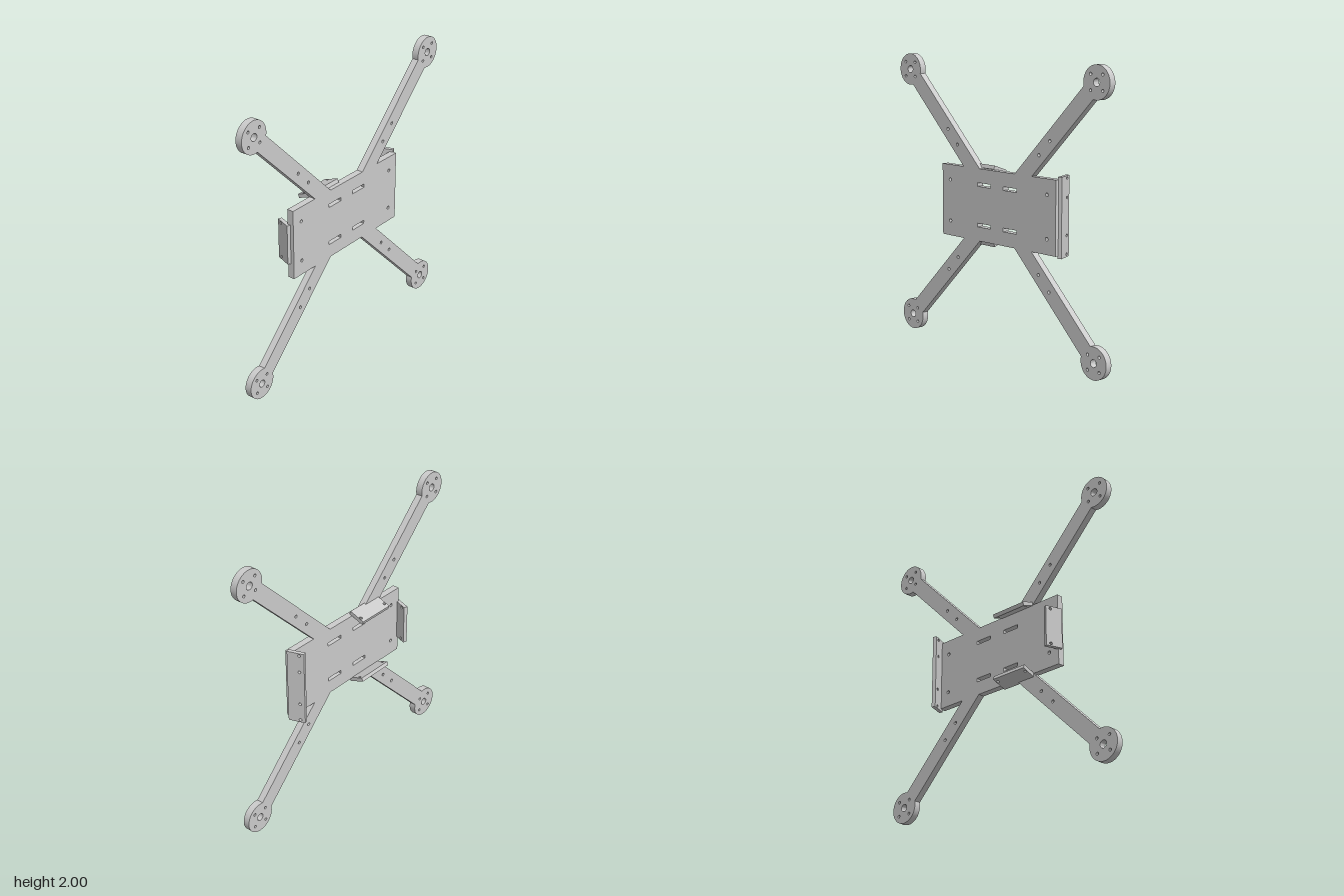
import * as THREE from 'three';
import { toCreasedNormals } from 'three/addons/utils/BufferGeometryUtils.js';

const material = new THREE.MeshStandardMaterial({ color: 0xcccccc });

function roundHole(shape, x, y, r) {
  shape.holes.push(new THREE.Path().absarc(x, y, r, 0, Math.PI * 2, true));
}

function extrude(shape, depth) {
  const geo = new THREE.ExtrudeGeometry(shape, { depth, bevelEnabled: false, curveSegments: 16 });
  return toCreasedNormals(geo, 0.5);
}

// Centre plate, four diagonal arms and motor pads in one flat outline, centred on the origin
function frameShape() {
  const pad = 0.89, radius = 0.11, halfAngle = Math.asin(0.0566 / radius);
  const quarter = [[0.55, 0.25], [0.33, 0.25]];
  const start = -Math.PI * 0.75 + halfAngle, sweep = Math.PI * 2 - 2 * halfAngle, steps = 40;
  for (let i = 0; i <= steps; i++) {
    const a = start + (sweep * i) / steps;
    quarter.push([pad + radius * Math.cos(a), pad + radius * Math.sin(a)]);
  }
  quarter.push([0.17, 0.25]);

  const outline = [];
  for (const [sx, sy] of [[1, 1], [-1, 1], [-1, -1], [1, -1]]) {
    const pts = quarter.map(([x, y]) => new THREE.Vector2(x * sx, y * sy));
    outline.push(...(sx * sy > 0 ? pts : pts.reverse()));
  }
  const shape = new THREE.Shape(outline);

  for (const sx of [1, -1]) for (const sy of [1, -1]) {
    // motor pad holes
    roundHole(shape, sx * pad, sy * pad, 0.026);
    for (const dx of [-0.05, 0.05]) for (const dy of [-0.05, 0.05])
      roundHole(shape, sx * pad + dx, sy * pad + dy, 0.01);
    // arm holes and plate corner holes
    roundHole(shape, sx * 0.395, sy * 0.395, 0.011);
    roundHole(shape, sx * 0.492, sy * 0.495, 0.011);
    roundHole(shape, sx * 0.47, sy * 0.145, 0.012);
    // strap slots
    const cx = sx * 0.126, cy = sy * 0.14, w = 0.064, h = 0.0125;
    shape.holes.push(new THREE.Path([
      new THREE.Vector2(cx - w, cy - h), new THREE.Vector2(cx - w, cy + h),
      new THREE.Vector2(cx + w, cy + h), new THREE.Vector2(cx + w, cy - h),
    ]));
  }
  return shape;
}

// Tilted edge flap: width along x, front edge leaning outward (+y), turned about z into place
function flap(name, width, holes, offset, turn, x = 0) {
  const depth = 0.118, thick = 0.027;
  const w = width / 2, d = depth / 2;
  const shape = new THREE.Shape([
    new THREE.Vector2(-w, -d), new THREE.Vector2(w, -d),
    new THREE.Vector2(w, d), new THREE.Vector2(-w, d),
  ]);
  for (const hx of holes) for (const s of [-1, 1]) roundHole(shape, s * hx, 0.025, 0.01);
  const geo = extrude(shape, thick);
  geo.translate(0, 0, -thick / 2);
  geo.rotateX(-Math.PI / 2 - THREE.MathUtils.degToRad(20));
  geo.translate(0, offset, -0.013);
  const mesh = new THREE.Mesh(geo, material);
  mesh.name = name;
  mesh.rotation.z = turn;
  mesh.position.set(x, 1, 0);
  return mesh;
}

export function createModel() {
  const model = new THREE.Group();
  model.name = 'quadcopterFrame';

  const frame = new THREE.Mesh(extrude(frameShape(), 0.048), material);
  frame.name = 'framePlateWithArms';
  frame.position.set(0, 1, 0.023);
  model.add(frame);

  model.add(
    flap('leftEndFlap', 0.535, [0.25, 0.125], 0.539, -Math.PI / 2),
    flap('rightEndFlap', 0.285, [0.125], 0.539, Math.PI / 2),
    flap('upperFlap', 0.275, [0.123], 0.247, 0, -0.1925),
    flap('lowerFlap', 0.275, [0.123], 0.247, Math.PI, -0.1925),
  );
  return model;
}
